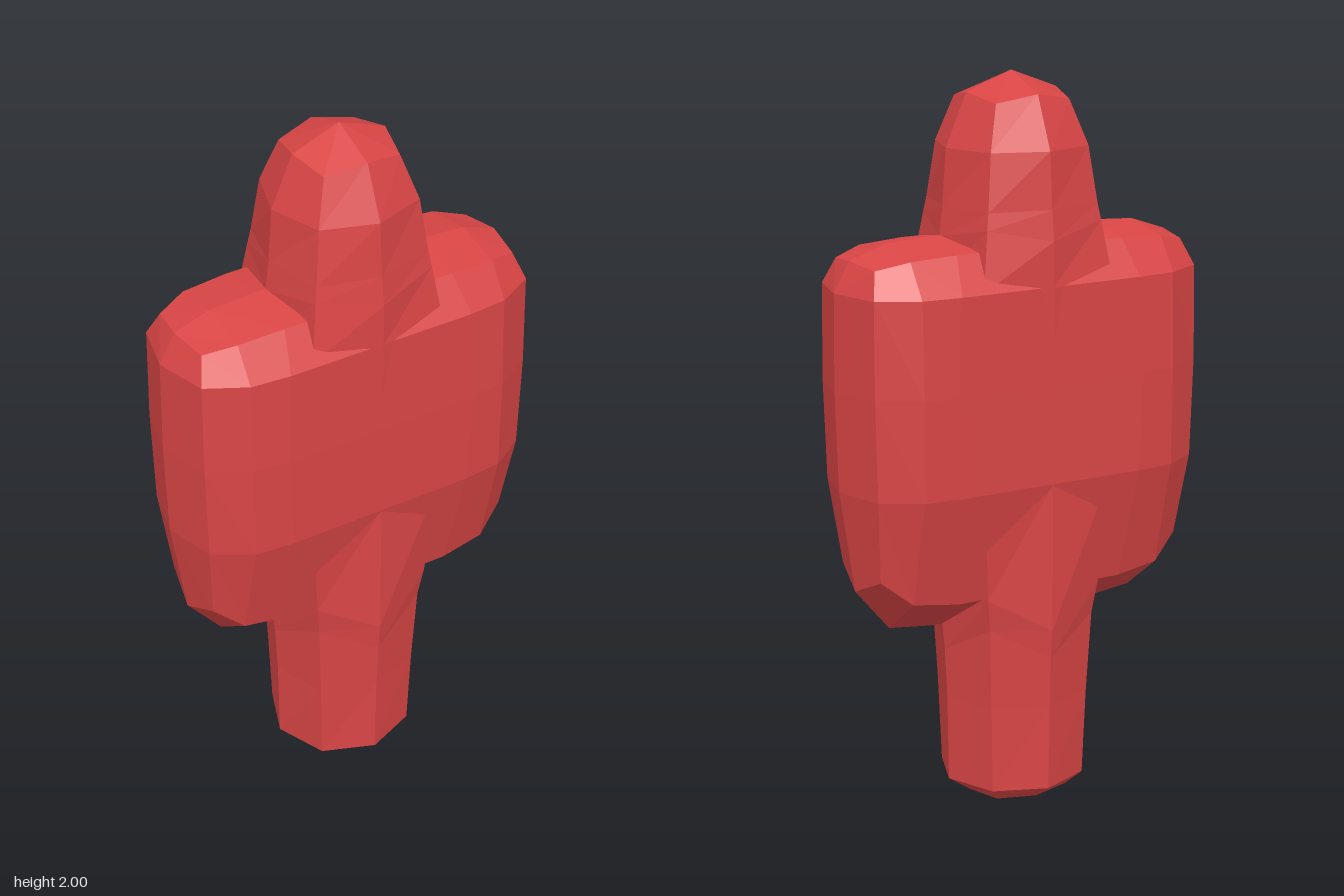
import * as THREE from 'three';

const red = new THREE.MeshStandardMaterial({ color: 0xd94545, flatShading: true });
red.name = 'red';

// Skin closed rings of points, one after the other
function loft(name, rings) {
  const n = rings[0].length, index = [];
  for (let i = 0; i < rings.length - 1; i++) {
    for (let j = 0; j < n; j++) {
      const a = i * n + j, b = i * n + (j + 1) % n;
      index.push(a, a + n, b, b, a + n, b + n);
    }
  }
  const g = new THREE.BufferGeometry();
  g.setAttribute('position', new THREE.Float32BufferAttribute(rings.flat(2), 3));
  g.setIndex(index);
  g.computeVertexNormals();
  const mesh = new THREE.Mesh(g, red);
  mesh.name = name;
  return mesh;
}

// Upright post: [y, radius on the axes, x and z of the diagonal corners, their y]
function createPost() {
  const sections = [
    [0.005, 0, 0, 0.005], [0.015, 0.135, 0.11, 0.02], [0.06, 0.2, 0.143, 0.06],
    [0.3, 0.203, 0.15, 0.3], [0.44, 0.21, 0.16, 0.53], [0.52, 0.218, 0.172, 0.62],
    [0.93, 0.219, 0.195, 0.93], [1.46, 0.219, 0.195, 1.46], [1.58, 0.218, 0.172, 1.615],
    [1.66, 0.208, 0.165, 1.66], [1.81, 0.197, 0.147, 1.81], [1.95, 0.135, 0.11, 1.93], [2, 0, 0, 2],
  ];
  return loft('post', sections.map(([y, r, d, dy]) => [
    [r, y, 0], [d, dy, d], [0, y, r], [-d, dy, d],
    [-r, y, 0], [-d, dy, -d], [0, y, -r], [d, dy, -d],
  ]));
}

// Wide rounded body: half outlines [x, y, z] from top to bottom, mirrored in z and x
function createBody() {
  const halves = [
    [[0.527, 1.46, 0], [0.527, 1.46, 0], [0.527, 1.46, 0], [0.53, 1.2, 0], [0.522, 0.93, 0], [0.522, 0.93, 0], [0.522, 0.93, 0]],
    [[0.482, 1.54, 0], [0.465, 1.53, 0.11], [0.488, 1.46, 0.147], [0.49, 1.2, 0.15], [0.483, 0.93, 0.147], [0.46, 0.7, 0.11], [0.48, 0.65, 0]],
    [[0.38, 1.575, 0], [0.38, 1.55, 0.143], [0.38, 1.46, 0.205], [0.38, 1.2, 0.213], [0.38, 0.93, 0.21], [0.38, 0.635, 0.14], [0.38, 0.53, 0]],
    [[0.25, 1.583, 0], [0.25, 1.557, 0.15], [0.27, 1.46, 0.215], [0.28, 1.2, 0.222], [0.27, 0.93, 0.22], [0.25, 0.618, 0.15], [0.25, 0.515, 0]],
  ];
  const right = halves.map(h => [...h, ...h.slice(1, -1).reverse().map(([x, y, z]) => [x, y, -z])]);
  const left = right.map(ring => ring.map(([x, y, z]) => [-x, y, z])).reverse();
  return loft('body', [...right, ...left]);
}

export function createModel() {
  const model = new THREE.Group();
  model.name = 'model';
  model.add(createPost(), createBody());
  return model;
}
